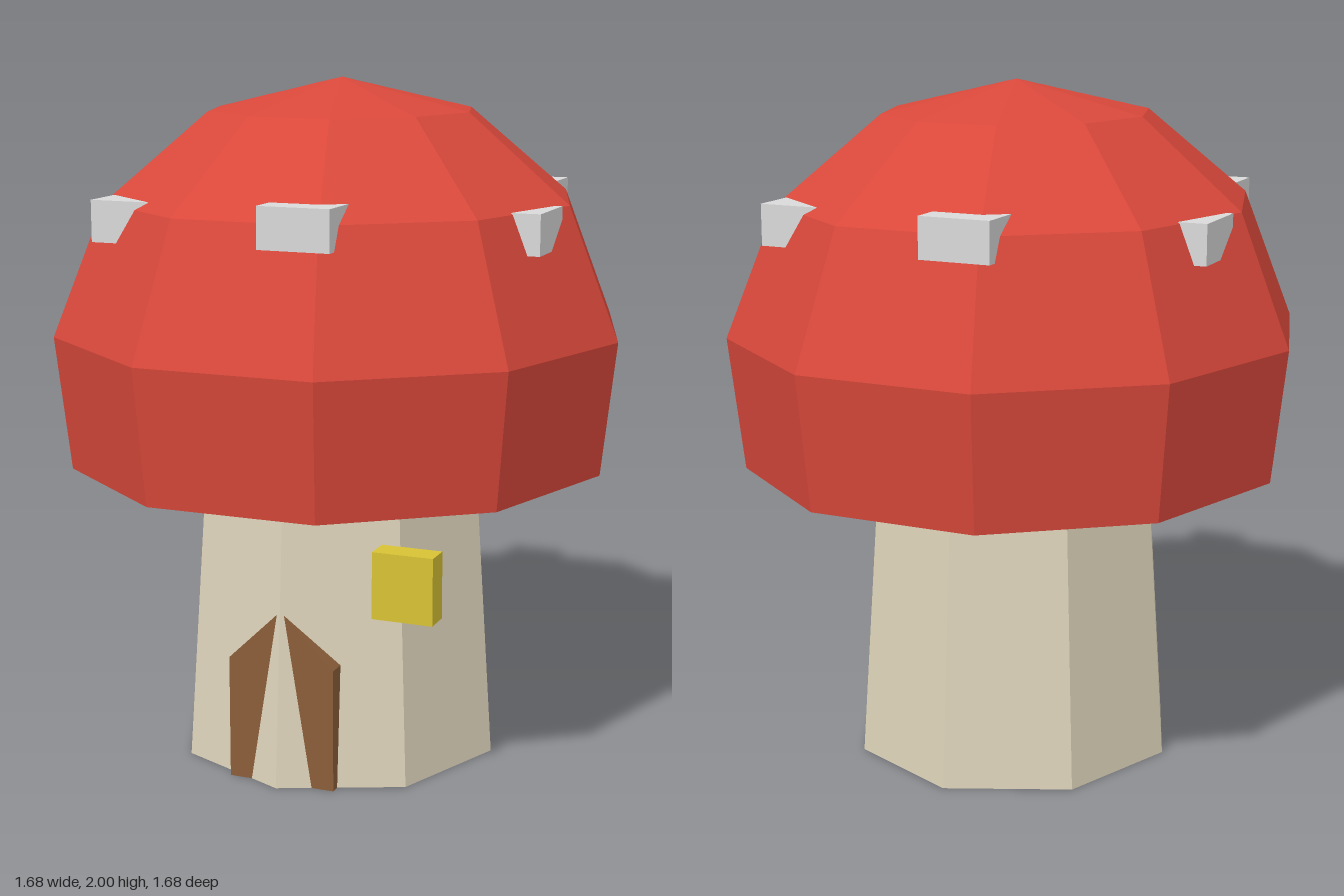
import * as THREE from 'three';

const flat = (name, color) => {
  const m = new THREE.MeshStandardMaterial({ color, flatShading: true });
  m.name = name;
  return m;
};

export function createModel() {
  const red = flat('cap red', 0xd9483b);
  const cream = flat('stem cream', 0xddd3ba);
  const grey = flat('spot grey', 0xd9d9d9);
  const yellow = flat('window yellow', 0xd8c235);
  const brown = flat('door brown', 0x8b5e3a);

  const group = new THREE.Group();
  group.name = 'mushroomHouse';
  const add = (name, geometry, material) => {
    const mesh = new THREE.Mesh(geometry, material);
    mesh.name = name;
    group.add(mesh);
    return mesh;
  };
  // Box given by its lower and upper corners
  const addBox = (name, material, [x0, y0, z0], [x1, y1, z1]) =>
    add(name, new THREE.BoxGeometry(x1 - x0, y1 - y0, z1 - z0), material)
      .position.set((x0 + x1) / 2, (y0 + y1) / 2, (z0 + z1) / 2);

  // Eight-sided tapering stem, slightly deeper than wide
  const stem = new THREE.CylinderGeometry(0.424, 0.485, 0.9, 8);
  stem.scale(1, 1, 1.045).translate(0, 0.45, 0);
  add('stem', stem, cream);

  // Ten-sided domed cap with a flat underside
  const profile = [[0, 0.885], [0.797, 0.885], [0.84, 1.275], [0.69, 1.655], [0.39, 1.907], [0, 2]]
    .map(([r, y]) => new THREE.Vector2(r, y));
  const cap = new THREE.LatheGeometry(profile, 10, Math.PI / 2);
  cap.scale(1, 1, 1.05);
  add('cap', cap, red);

  // Blocky spots, each repeated on the opposite side
  const spots = [
    ['frontSpot', [0.05, 1.588, 0.51], [0.257, 1.703, 0.718]],
    ['sideSpot', [0.48, 1.545, 0.058], [0.685, 1.66, 0.27]],
    ['cornerSpot', [-0.528, 1.56, 0.343], [-0.32, 1.678, 0.553]],
  ];
  for (const [name, [x0, y0, z0], [x1, y1, z1]] of spots) {
    addBox(name, grey, [x0, y0, z0], [x1, y1, z1]);
    addBox(name + 'Opposite', grey, [-x1, y0, -z1], [-x0, y1, -z0]);
  }

  // Window block
  addBox('window', yellow, [0.27, 0.525, 0.365], [0.45, 0.72, 0.445]);

  // Pointed door, partly sunk into the stem
  const outline = new THREE.Shape([[-0.162, 0], [0.162, 0], [0.162, 0.363], [0, 0.52], [-0.162, 0.363]]
    .map(([x, y]) => new THREE.Vector2(x, y)));
  const door = new THREE.ExtrudeGeometry(outline, { depth: 0.08, bevelEnabled: false });
  add('door', door, brown).position.z = 0.386;

  return group;
}
